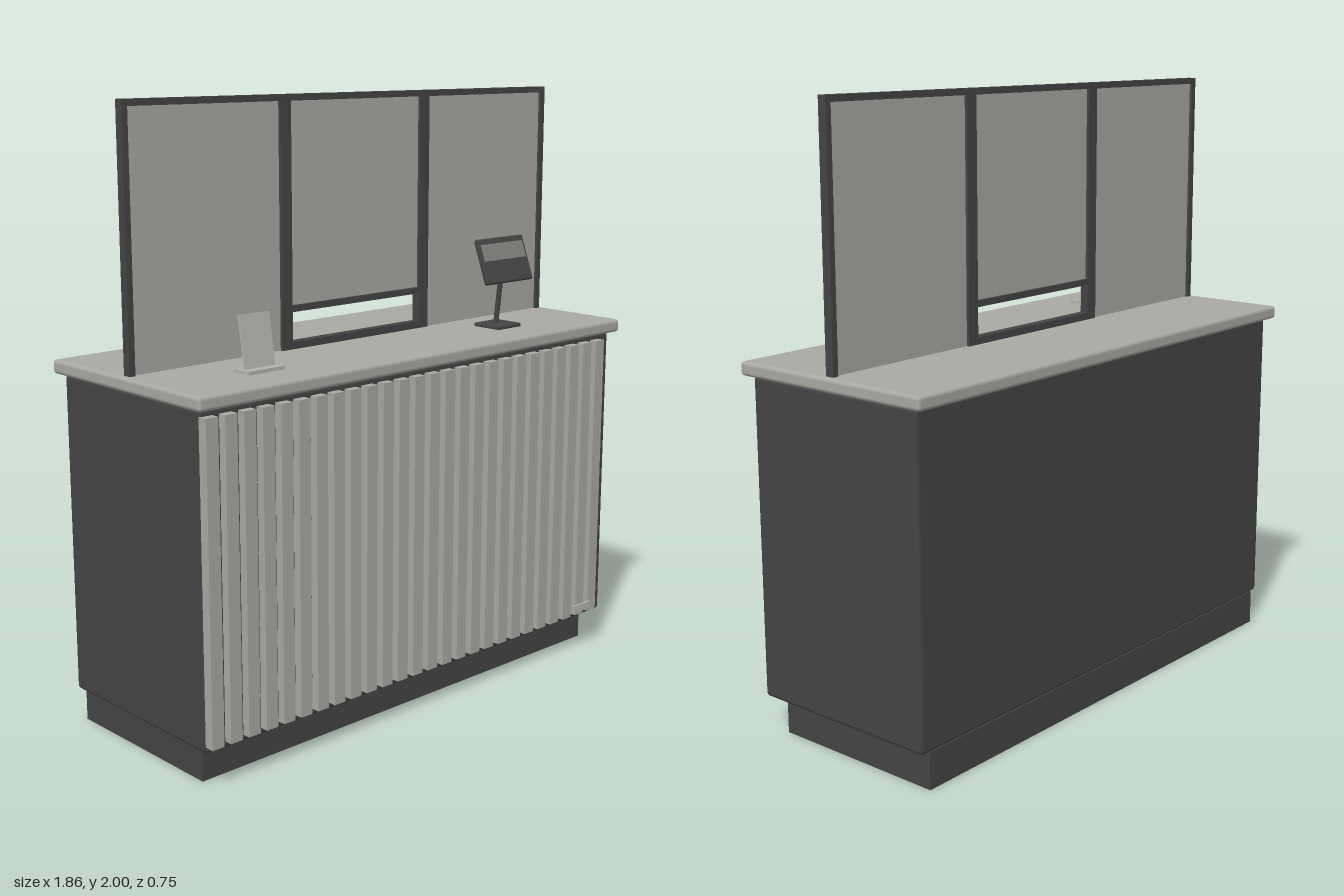
import * as THREE from 'three';
import { RoundedBoxGeometry } from 'three/addons/geometries/RoundedBoxGeometry.js';

const mat = (name, color, side = THREE.FrontSide) => {
  const m = new THREE.MeshStandardMaterial({ color, side });
  m.name = name;
  return m;
};

export function createModel() {
  const charcoal = mat('charcoal', 0x444444);
  const stone = mat('warm grey', 0xaaa8a2);
  const acrylic = mat('pale acrylic', 0xb3b2ae);
  const display = mat('display grey', 0x80807d);

  const counter = new THREE.Group();
  counter.name = 'serviceCounter';

  // Box given by its limits on each axis, with an optional softened edge
  function box(name, material, [x0, x1], [y0, y1], [z0, z1], radius = 0, parent = counter) {
    const size = [x1 - x0, y1 - y0, z1 - z0];
    const geometry = radius
      ? new RoundedBoxGeometry(...size, 2, radius)
      : new THREE.BoxGeometry(...size);
    const mesh = new THREE.Mesh(geometry, material);
    mesh.position.set((x0 + x1) / 2, (y0 + y1) / 2, (z0 + z1) / 2);
    mesh.name = name;
    parent.add(mesh);
    return mesh;
  }

  // Cabinet and countertop
  box('cabinet', charcoal, [-0.91, 0.91], [0.117, 1.156], [-0.34, 0.34], 0.014);
  box('countertop', stone, [-0.932, 0.932], [1.155, 1.2], [-0.372, 0.372], 0.012);

  // Hollow recessed plinth, open underneath
  const rect = (target, x0, x1, y0, y1) => {
    target.moveTo(x0, y0);
    target.lineTo(x1, y0);
    target.lineTo(x1, y1);
    target.lineTo(x0, y1);
    target.closePath();
    return target;
  };
  const outline = rect(new THREE.Shape(), -0.876, 0.876, -0.275, 0.34);
  outline.holes.push(rect(new THREE.Path(), -0.866, 0.866, -0.265, 0.33));
  const plinth = new THREE.Mesh(
    new THREE.ExtrudeGeometry(outline, { depth: 0.12, bevelEnabled: false }), charcoal);
  plinth.rotation.x = -Math.PI / 2;
  plinth.name = 'plinth';
  counter.add(plinth);

  // Vertical slats on the front
  const slats = new THREE.Group();
  slats.name = 'frontSlats';
  counter.add(slats);
  for (let i = 0; i < 26; i++) {
    const x = -0.885 + i * 0.0686;
    box('slat', stone, [x - 0.022, x + 0.022], [0.14, 1.135], [0.335, 0.368], 0, slats);
  }
  box('frontPlate', acrylic, [0.73, 0.815], [0.152, 0.178], [0.366, 0.374]);

  // Partition screen: frame and panels
  const screen = new THREE.Group();
  screen.name = 'partitionScreen';
  counter.add(screen);
  const depth = [-0.015, 0.015];
  for (const s of [-1, 1]) {
    const span = (a, b) => (s > 0 ? [a, b] : [-b, -a]);
    box('endPost', charcoal, span(0.892, 0.912), [1.195, 2], depth, 0, screen);
    box('mullion', charcoal, span(0.283, 0.326), [1.195, 1.99], depth, 0, screen);
    box('sidePanel', stone, span(0.32, 0.896), [1.195, 1.985], [-0.005, 0.005], 0, screen);
  }
  box('topRail', charcoal, [-0.9, 0.9], [1.98, 2], depth, 0, screen);
  box('hatchTopRail', charcoal, [-0.29, 0.29], [1.32, 1.341], depth, 0, screen);
  box('hatchSill', charcoal, [-0.29, 0.29], [1.195, 1.224], depth, 0, screen);
  box('centrePanel', stone, [-0.29, 0.29], [1.335, 1.985], [-0.005, 0.005], 0, screen);

  // Card holder
  box('cardHolderBase', acrylic, [-0.643, -0.505], [1.198, 1.211], [0.165, 0.235]);
  const card = box('cardHolderPanel', acrylic, [-0.632, -0.516], [1.205, 1.372], [0.185, 0.192]);
  card.rotation.x = -0.16;

  // Tilted monitor on its stand
  box('monitorBase', charcoal, [0.453, 0.568], [1.198, 1.212], [0.115, 0.23], 0.004);
  const pole = new THREE.Mesh(new THREE.CylinderGeometry(0.009, 0.009, 0.22, 16), charcoal);
  pole.position.set(0.51, 1.315, 0.177);
  pole.rotation.x = 0.12;
  pole.name = 'monitorPole';
  counter.add(pole);

  const monitor = new THREE.Group();
  monitor.name = 'monitor';
  monitor.position.set(0.51, 1.432, 0.195);
  monitor.rotation.x = -0.36;
  counter.add(monitor);
  box('monitorCase', charcoal, [-0.115, 0.115], [-0.079, 0.079], [-0.009, 0.009], 0.006, monitor);
  box('monitorDisplay', display, [-0.104, 0.104], [0, 0.058], [0.006, 0.0105], 0, monitor);

  return counter;
}
